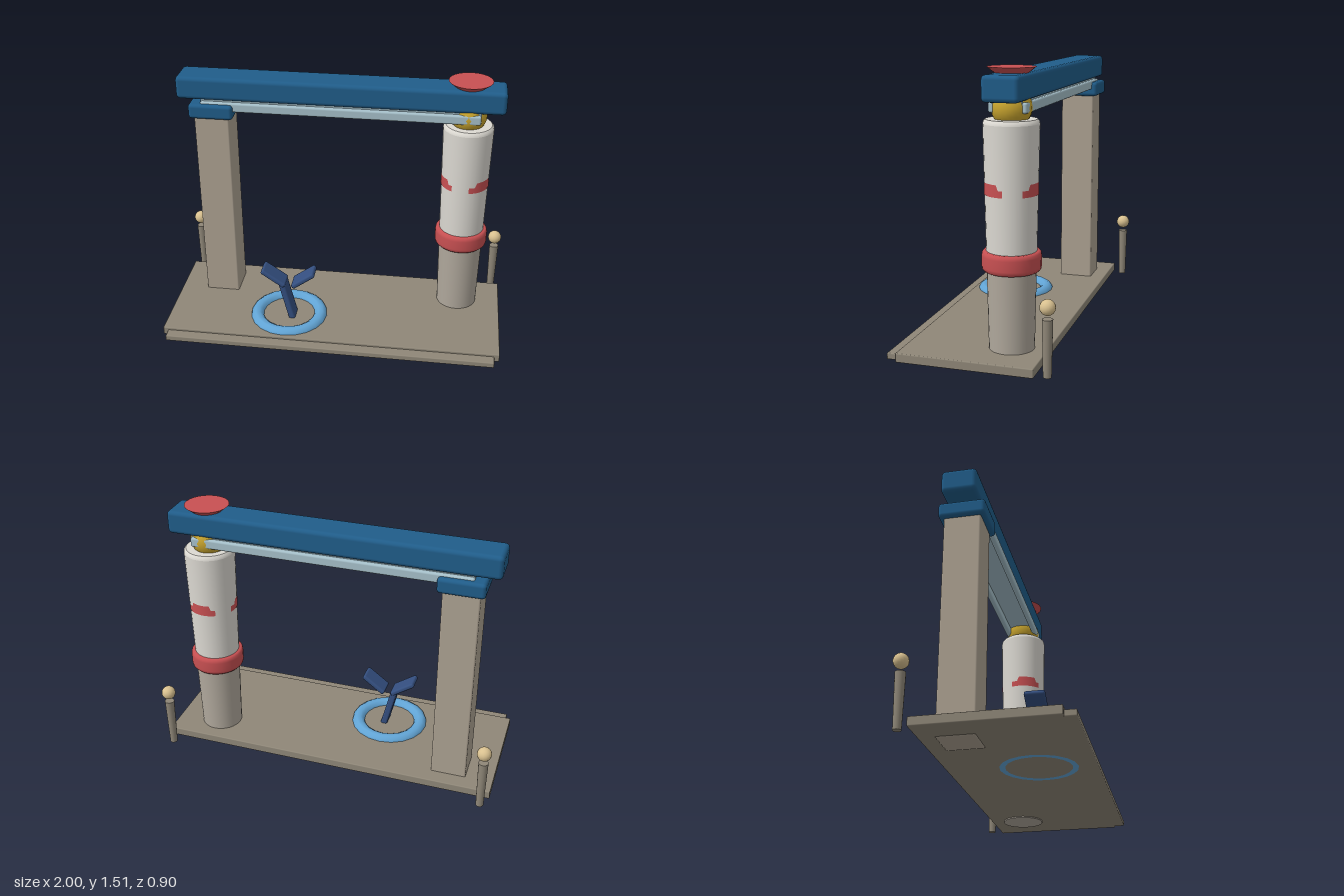
import * as THREE from 'three';
import { RoundedBoxGeometry } from 'three/addons/geometries/RoundedBoxGeometry.js';

const mat = (color, extra = {}) => new THREE.MeshStandardMaterial({ color, ...extra });
const STONE = mat(0x8f8778), POST = mat(0xada292), LOWER = mat(0xb0a89c), UPPER = mat(0xdcd9d2);
const BLUE = mat(0x205d8a), SKY = mat(0x62a5d6), NAVY = mat(0x344f80), RAIL = mat(0xa6c0ca);
const RED = mat(0xc85052), GOLD = mat(0xcaa62f), BRASS = mat(0xd9c190);
const RED_PATCH = mat(0xc85052, { side: THREE.DoubleSide });

export function createModel() {
  const model = new THREE.Group();
  const add = (name, geometry, material, x, y, z) => {
    const mesh = new THREE.Mesh(geometry, material);
    mesh.name = name;
    mesh.position.set(x, y, z);
    model.add(mesh);
    return mesh;
  };
  // Rounded box given by its min and max on each axis
  const box = (name, material, [x0, x1], [y0, y1], [z0, z1], r) =>
    add(name, new RoundedBoxGeometry(x1 - x0, y1 - y0, z1 - z0, 2, r), material,
      (x0 + x1) / 2, (y0 + y1) / 2, (z0 + z1) / 2);
  const lathe = (points) =>
    new THREE.LatheGeometry(points.map(([r, y]) => new THREE.Vector2(r, y)), 32);

  // Platform with a front step
  box('platform', STONE, [-1, 1], [0.01, 0.06], [-0.35, 0.39], 0.006);
  box('frontStep', STONE, [-0.97, 0.97], [0.01, 0.045], [0.36, 0.45], 0.006);

  // Square post and its cap
  box('squarePost', POST, [-0.84, -0.635], [0.005, 1.26], [-0.262, -0.058], 0.01);
  box('postCap', BLUE, [-0.867, -0.608], [1.247, 1.335], [-0.29, -0.03], 0.02);

  // Overhead beam with a soffit and two rails beneath
  box('beam', BLUE, [-0.94, 0.935], [1.353, 1.487], [-0.257, -0.061], 0.024);
  box('soffit', RAIL, [-0.8, 0.8], [1.335, 1.358], [-0.235, -0.075], 0.004);
  for (const z of [-0.07, -0.242])
    box('rail', RAIL, [-0.8, 0.8], [1.29, 1.346], [z - 0.016, z + 0.016], 0.012);

  // Round column in two tones, flaring upwards
  const cx = 0.735, cz = -0.157;
  add('columnLower', new THREE.CylinderGeometry(0.13, 0.119, 0.53, 32), LOWER, cx, 0.268, cz);
  add('columnUpper', lathe([[0.13, 0.53], [0.145, 1.235], [0.145, 1.235], [0.142, 1.248],
    [0.132, 1.258], [0.132, 1.258], [0, 1.258]]), UPPER, cx, 0, cz);

  // Rounded collar round the column
  add('collar', lathe([[0.12, 0.48], [0.143, 0.48], [0.152, 0.49], [0.155, 0.505], [0.155, 0.56],
    [0.152, 0.575], [0.143, 0.585], [0.12, 0.585]]), RED, cx, 0, cz);

  // Three curved markings, raised in the middle of their upper edge
  for (let i = 0; i < 3; i++) {
    const start = THREE.MathUtils.degToRad(10 + 120 * i), steps = 16;
    const g = new THREE.CylinderGeometry(0.1395, 0.1395, 0.035, steps, 1, true, start, 1.37);
    const p = g.attributes.position;
    for (let k = 0; k <= steps; k++) if (k >= 4 && k <= 13) p.setY(k, 0.046);
    add('columnMarking', g, RED_PATCH, cx, 0.896, cz);
  }

  // Ball bearing under the beam, flared disc above it
  add('bearingBall', new THREE.SphereGeometry(0.105, 24, 16), GOLD, 0.73, 1.315, cz);
  add('topDisc', new THREE.CylinderGeometry(0.125, 0.08, 0.036, 24), RED, 0.73, 1.499, cz);

  // Ring set into the platform
  const ring = add('floorRing', new THREE.TorusGeometry(0.194, 0.042, 10, 20), SKY, -0.275, 0.048, 0.14);
  ring.rotation.x = Math.PI / 2;

  // Leaning stand with two angled plates; each runs between two points in the front plane
  const slab = (name, [x0, y0], [x1, y1], thick, depth) => {
    const length = Math.hypot(x1 - x0, y1 - y0);
    const mesh = add(name, new RoundedBoxGeometry(length, thick, depth, 2, 0.012), NAVY,
      (x0 + x1) / 2, (y0 + y1) / 2, 0.145);
    mesh.rotation.z = Math.atan2(y1 - y0, x1 - x0);
  };
  slab('stand', [-0.247, 0.05], [-0.307, 0.295], 0.04, 0.1);
  slab('leftPlate', [-0.428, 0.383], [-0.29, 0.288], 0.03, 0.115);
  slab('rightPlate', [-0.245, 0.285], [-0.113, 0.383], 0.03, 0.115);

  // Bollards with ball tops behind the rear corners
  for (const s of [-1, 1]) {
    add('bollard', new THREE.CylinderGeometry(0.028, 0.022, 0.3, 16), STONE, s * 0.955, 0.16, -0.41);
    add('bollardBall', new THREE.SphereGeometry(0.041, 16, 12), BRASS, s * 0.955, 0.37, -0.41);
  }
  return model;
}
